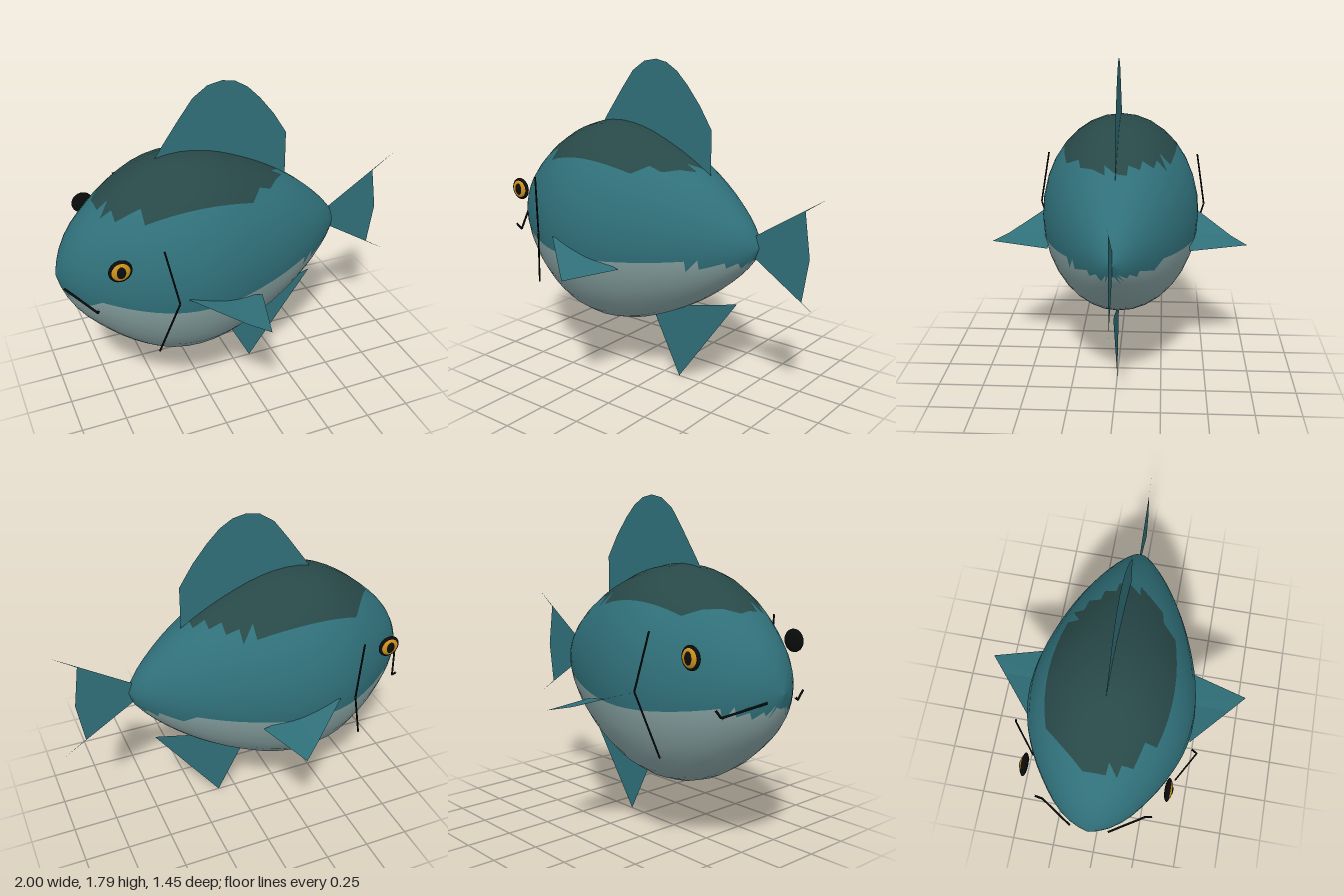
import * as THREE from 'three';

const paint = (name, color, side = THREE.FrontSide) => {
  const m = new THREE.MeshStandardMaterial({ color, side });
  m.name = name;
  return m;
};

export function createModel() {
  const fish = new THREE.Group();
  fish.name = 'fish';
  const teal = paint('teal', 0x30707a, THREE.DoubleSide);
  const dark = paint('dark back', 0x284848);
  const pale = paint('pale belly', 0x86a0a0);
  const gold = paint('gold', 0xd0921c);
  const black = paint('black', 0x0a0c0c);

  const add = (name, geometry, material, parent = fish) => {
    const mesh = new THREE.Mesh(geometry, material);
    mesh.name = name;
    parent.add(mesh);
    return mesh;
  };

  // Body: a turned egg shape laid along x, flattened in z
  const MID = 0.87;
  const profile = new THREE.CatmullRomCurve3([
    [0, -1], [0.11, -0.97], [0.235, -0.9], [0.35, -0.79], [0.455, -0.66], [0.545, -0.49],
    [0.575, -0.32], [0.555, -0.15], [0.495, 0.02], [0.405, 0.2], [0.29, 0.37],
    [0.175, 0.5], [0.09, 0.575], [0.04, 0.605], [0, 0.613],
  ].map(([r, x]) => new THREE.Vector3(r, x, 0)));
  const rings = profile.getSpacedPoints(28).map(p => new THREE.Vector2(Math.max(p.x, 0), p.y));
  const body = new THREE.LatheGeometry(rings, 32)
    .rotateZ(-Math.PI / 2).scale(1, 1, 0.455 / 0.575).translate(0, MID, 0).toNonIndexed();

  // Sort the body faces by height into back, sides and belly
  const pos = body.attributes.position, nor = body.attributes.normal;
  const parts = { back: [[], []], sides: [[], []], belly: [[], []] };
  for (let i = 0; i < pos.count; i += 3) {
    const y = (pos.getY(i) + pos.getY(i + 1) + pos.getY(i + 2)) / 3;
    const [p, n] = y > 1.25 ? parts.back : y < 0.785 ? parts.belly : parts.sides;
    for (let k = i; k < i + 3; k++) {
      p.push(pos.getX(k), pos.getY(k), pos.getZ(k));
      n.push(nor.getX(k), nor.getY(k), nor.getZ(k));
    }
  }
  const skins = { back: dark, sides: teal, belly: pale };
  for (const [name, [p, n]] of Object.entries(parts)) {
    const g = new THREE.BufferGeometry();
    g.setAttribute('position', new THREE.Float32BufferAttribute(p, 3));
    g.setAttribute('normal', new THREE.Float32BufferAttribute(n, 3));
    add(name, g, skins[name]);
  }

  // Flat fins on the centre plane
  const flatFin = (name, points) => add(name,
    new THREE.ShapeGeometry(new THREE.Shape(points.map(p => new THREE.Vector2(...p)))), teal);
  flatFin('dorsalFin', [
    [-0.44, 1.42], [-0.4, 1.48], [-0.3, 1.62], [-0.22, 1.725], [-0.14, 1.78], [-0.06, 1.795],
    [0.01, 1.782], [0.08, 1.74], [0.15, 1.67], [0.23, 1.57], [0.305, 1.45], [0.305, 1.18], [0, 1.3],
  ]);
  flatFin('tailFin', [
    [0.56, 0.915], [1, 1.2], [0.87, 1.11], [0.905, 0.87], [0.87, 0.635], [1, 0.548], [0.56, 0.83],
  ]);
  flatFin('analFin', [[-0.08, 0.36], [0.105, 0], [0.485, 0.53], [0.13, 0.44], [0, 0.45]]);

  // Thin line following a path of straight pieces
  const line = (name, points, r) => {
    const path = new THREE.CurvePath();
    const v = points.map(p => new THREE.Vector3(...p));
    for (let i = 1; i < v.length; i++) path.add(new THREE.LineCurve3(v[i - 1], v[i]));
    const group = new THREE.Group();
    group.name = name;
    path.curves.forEach(c => add(name + 'Stroke', new THREE.TubeGeometry(c, 1, r, 6), black, group));
    fish.add(group);
  };

  // Flattened ball used for the eye layers
  const disc = (name, rx, ry, depth, z, material, parent) => {
    const mesh = add(name, new THREE.SphereGeometry(1, 24, 16).scale(rx, ry, depth), material, parent);
    mesh.position.z = z;
  };

  for (const s of [1, -1]) {
    const side = s > 0 ? 'left' : 'right';

    // Folded pectoral fin
    const fin = new THREE.BufferGeometry();
    const A = [-0.43, 0.85, 0.45 * s], D = [-0.195, 0.765, 0.643 * s], E = [-0.195, 0.775, 0.4 * s];
    const B = [-0.095, 0.743, 0.727 * s], C = [0, 0.735, 0.4 * s];
    fin.setAttribute('position', new THREE.Float32BufferAttribute(
      (s > 0 ? [A, D, E, E, D, B, E, B, C] : [A, E, D, E, B, D, E, C, B]).flat(), 3));
    fin.computeVertexNormals();
    add(side + 'PectoralFin', fin, teal);

    // Gill and mouth lines
    line(side + 'Gill', [[-0.545, 1.165, 0.45 * s], [-0.49, 0.87, 0.495 * s], [-0.583, 0.545, 0.413 * s]], 0.005);
    line(side + 'Mouth', [[-0.98, 0.84, 0.1 * s], [-0.857, 0.775, 0.28 * s], [-0.857, 0.82, 0.32 * s]], 0.006);

    // Eye
    const eye = new THREE.Group();
    eye.name = side + 'Eye';
    eye.position.set(-0.747, 1.055, 0.372 * s);
    disc('eyeRim', 0.061, 0.061, 0.018, 0, black, eye);
    disc('iris', 0.05, 0.05, 0.017, 0.006 * s, gold, eye);
    disc('pupil', 0.029, 0.036, 0.012, 0.014 * s, black, eye);
    fish.add(eye);
  }
  return fish;
}
